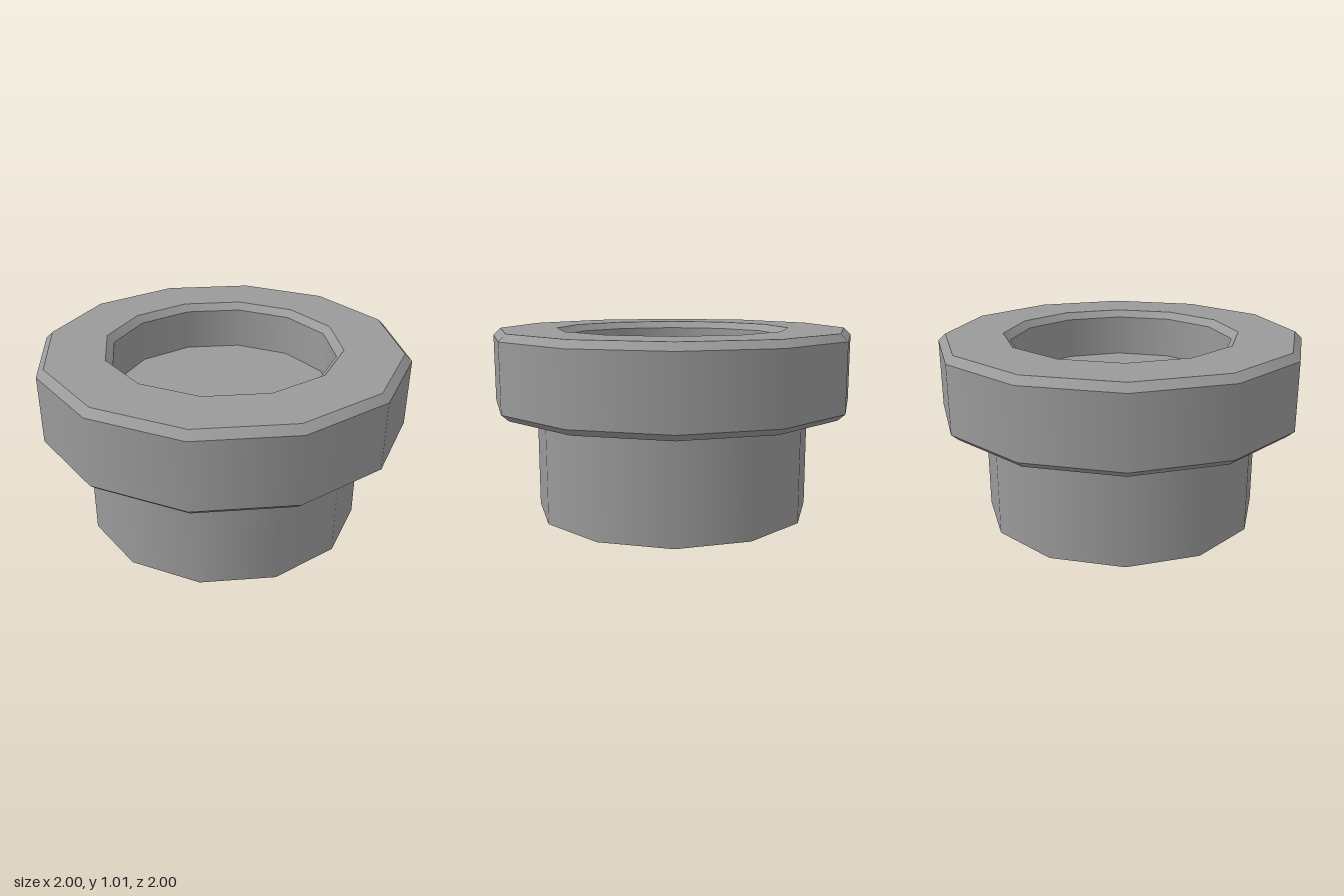
import * as THREE from 'three';

const SIDES = 12;
const material = new THREE.MeshStandardMaterial({ color: 0x9a9a9a, side: THREE.DoubleSide });

// One ring of faces between two [radius, height] points, smooth around and sharp at both edges
function band(name, from, to) {
  const points = [from, to].map(([r, y]) => new THREE.Vector2(r, y));
  const geometry = new THREE.LatheGeometry(points, SIDES);
  geometry.normalizeNormals(); // equal lengths keep the shading even from edge to edge
  const mesh = new THREE.Mesh(geometry, material);
  mesh.name = name;
  return mesh;
}

export function createModel() {
  const group = new THREE.Group();
  group.name = 'flangedCup';

  // Thin shell: open stem at the bottom, bevelled collar, recessed floor on top
  const profile = [
    ['stem', 0.767, 0.575],
    ['collarUnderside', 0.96, 0.575],
    ['collarLowerBevel', 1, 0.61],
    ['collarWall', 1, 0.977],
    ['collarUpperBevel', 0.96, 1.015],
    ['collarTop', 0.645, 1.015],
    ['recessBevel', 0.608, 0.977],
    ['recessWall', 0.608, 0.745],
    ['recessFloor', 0, 0.745],
  ];
  let previous = [0.767, 0];
  for (const [name, r, y] of profile) {
    group.add(band(name, previous, [r, y]));
    previous = [r, y];
  }
  return group;
}
